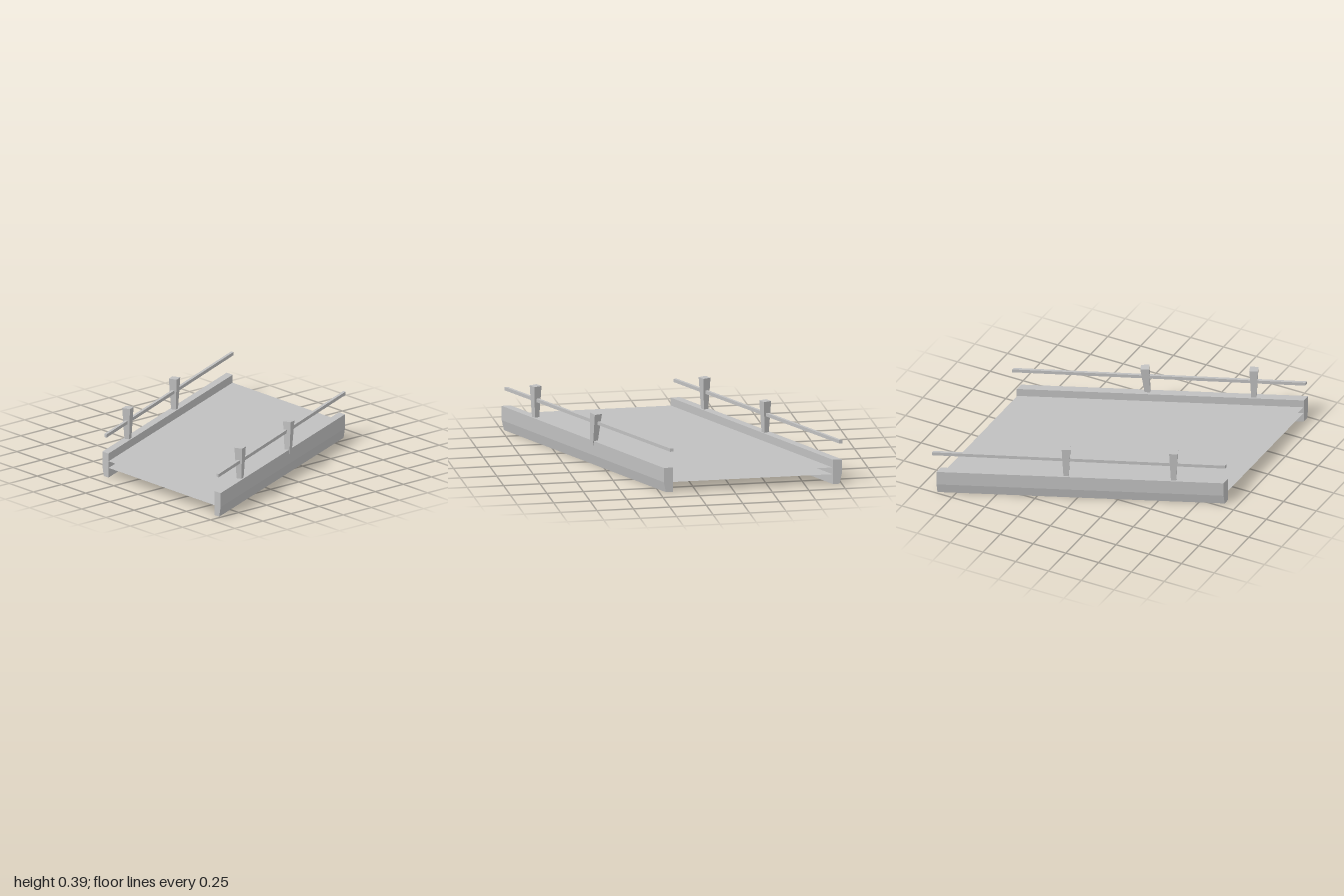
import * as THREE from 'three';

const SLOPE = -0.438; // the whole span is skewed: z shifts with x
const X0 = -0.91;

// Extrude a (z, y) profile along x, skewed in z and optionally rising in y
function skewedBar(profile, x0, x1, zStart, rise = 0) {
  const shape = new THREE.Shape(profile.map(([z, y]) => new THREE.Vector2(-z, y)));
  const geo = new THREE.ExtrudeGeometry(shape, { depth: x1 - x0, bevelEnabled: false });
  geo.rotateY(Math.PI / 2);
  const p = geo.attributes.position;
  for (let i = 0; i < p.count; i++) {
    const t = p.getX(i);
    p.setXYZ(i, x0 + t, p.getY(i) + rise * t / (x1 - x0), p.getZ(i) + zStart + SLOPE * t);
  }
  geo.computeVertexNormals();
  return geo;
}

// Square post, narrower at its foot
function postGeometry(height) {
  const geo = new THREE.BoxGeometry(0.058, height, 0.058);
  geo.translate(0, height / 2, 0);
  const p = geo.attributes.position;
  for (let i = 0; i < p.count; i++) {
    if (p.getY(i) < height / 2) {
      p.setX(i, p.getX(i) * 0.6);
      p.setZ(i, p.getZ(i) * 0.6);
    }
  }
  geo.computeVertexNormals();
  return geo;
}

export function createModel() {
  const model = new THREE.Group();
  model.name = 'bridgeSpan';
  const stone = new THREE.MeshStandardMaterial({ color: 0xc0c0c0, side: THREE.DoubleSide });
  stone.name = 'paleGrey';

  const add = (name, geo) => {
    const mesh = new THREE.Mesh(geo, stone);
    mesh.name = name;
    model.add(mesh);
    return mesh;
  };

  // Post from its foot to its top, turned to follow the beam
  const addPost = (name, foot, top) => {
    const a = new THREE.Vector3(...foot), b = new THREE.Vector3(...top);
    const dir = b.clone().sub(a);
    const post = add(name, postGeometry(dir.length()));
    const yaw = new THREE.Quaternion().setFromAxisAngle(new THREE.Vector3(0, 1, 0), Math.atan(-SLOPE));
    post.quaternion.setFromUnitVectors(new THREE.Vector3(0, 1, 0), dir.normalize()).multiply(yaw);
    post.position.copy(a);
  };

  for (const [side, s, zStart] of [['front', 1, 0.968], ['back', -1, -0.191]]) {
    // Side beam, chamfered along its lower outer edge
    add(side + 'Beam', skewedBar(
      [[-0.031 * s, 0], [0.016 * s, 0], [0.031 * s, 0.07], [0.031 * s, 0.17], [-0.031 * s, 0.17]],
      X0, 0.868, zStart));

    // Thin handrail, rising slightly to +x
    const r = 0.011;
    add(side + 'Rail', skewedBar(
      [[-r, 0.277], [r, 0.277], [r, 0.3], [-r, 0.3]], X0, 0.905, zStart, 0.014));

    // Upright outer post
    const z = zStart + SLOPE * (-0.588 - X0);
    addPost(side + 'RightPost', [-0.588, 0.165, z], [-0.588, 0.388, z]);
  }

  // Posts nearer the middle; the front one has sagged outward
  addPost('backLeftPost', [0.078, 0.165, -0.623], [0.078, 0.388, -0.623]);
  addPost('frontLeftPost', [0.076, 0.14, 0.553], [0.092, 0.362, 0.54]);

  // Deck: open-ended upper and lower sheets between the beams
  for (const [name, y] of [['deckTop', 0.115], ['deckUnderside', 0.068]]) {
    const xa = X0 + 0.003, xb = 0.865, dz = SLOPE * (xb - xa);
    const outline = [[xa, 0.96], [xb, 0.96 + dz], [xb, -0.185 + dz], [xa, -0.185]];
    const geo = new THREE.ShapeGeometry(new THREE.Shape(outline.map(([x, z]) => new THREE.Vector2(x, -z))));
    geo.rotateX(-Math.PI / 2);
    add(name, geo).position.y = y;
  }

  return model;
}
